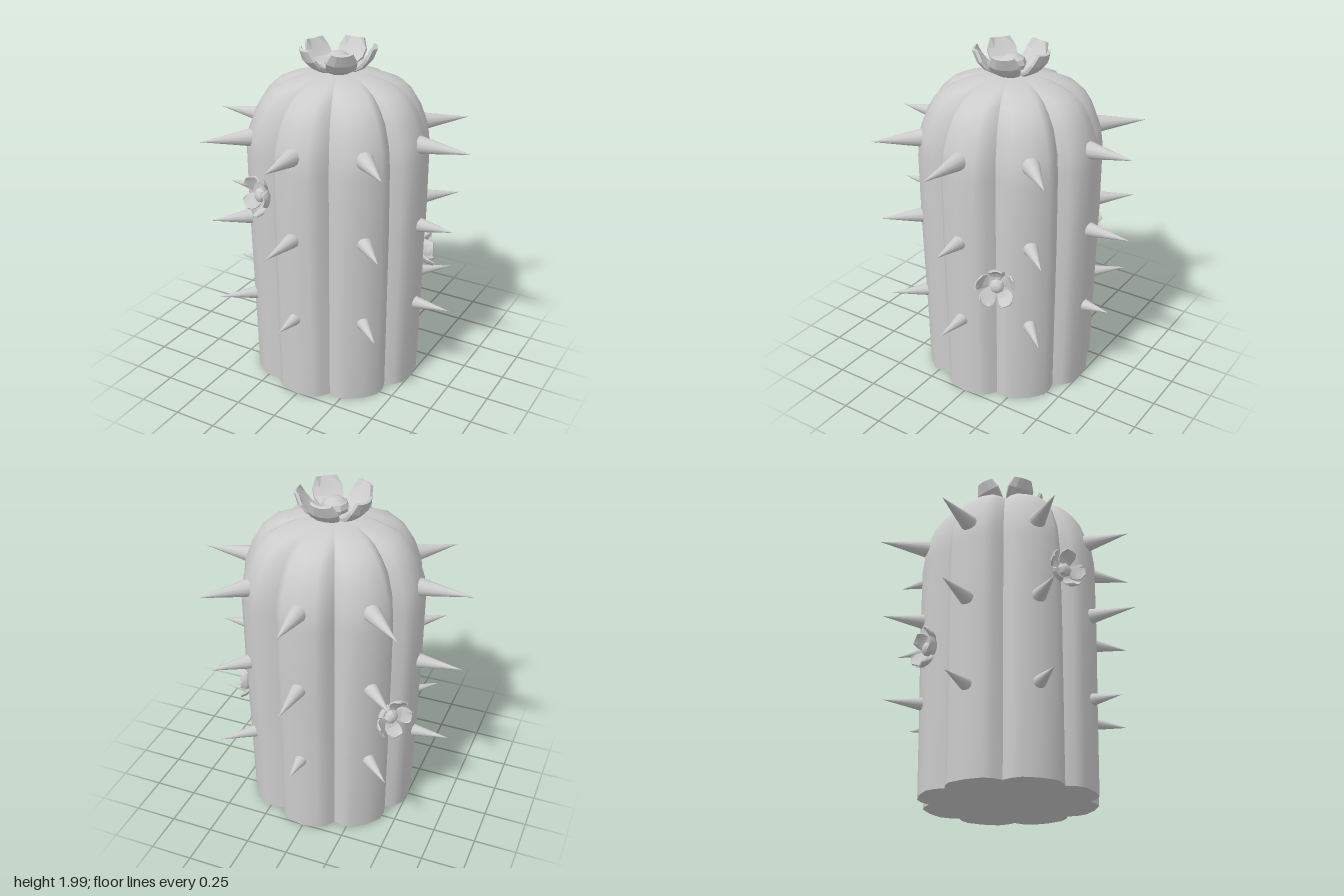
import * as THREE from 'three';
import { mergeGeometries, toCreasedNormals } from 'three/addons/utils/BufferGeometryUtils.js';

const grey = new THREE.MeshStandardMaterial({ color: 0xcccccc });
grey.name = 'plain grey';

function addMesh(parent, name, geometry) {
  const mesh = new THREE.Mesh(geometry, grey);
  mesh.name = name;
  parent.add(mesh);
  return mesh;
}

// Body profile: height, ridge radius, valley radius
const PROFILE = [
  [0, 0.505, 0.442], [0.5, 0.515, 0.446], [1.0, 0.527, 0.45], [1.4, 0.53, 0.446],
  [1.52, 0.515, 0.435], [1.64, 0.47, 0.4], [1.71, 0.428, 0.355], [1.765, 0.37, 0.305],
  [1.8, 0.29, 0.25], [1.825, 0.2, 0.185], [1.835, 0.1, 0.098], [1.84, 0.001, 0.001],
];
// Cross-section of one rib: angle in degrees, share of ridge against valley
const RIB = [[-22.5, 0], [-17, 0.55], [-11, 0.93], [0, 1], [11, 0.93], [17, 0.55], [22.5, 0]];

function ribPoint([y, ridge, valley], [deg, share], turn) {
  const r = valley + (ridge - valley) * share;
  const a = THREE.MathUtils.degToRad(deg) + turn;
  return [r * Math.sin(a), y, r * Math.cos(a)];
}

// One rib, smooth inside, so the valleys between ribs stay sharp
function ribGeometry(turn) {
  const pos = [], index = [], n = RIB.length;
  PROFILE.forEach((level) => RIB.forEach((p) => pos.push(...ribPoint(level, p, turn))));
  for (let i = 0; i < PROFILE.length - 1; i++) {
    for (let j = 0; j < n - 1; j++) {
      const a = i * n + j, b = a + 1, c = a + n, d = c + 1;
      index.push(a, b, d, a, d, c);
    }
  }
  const g = new THREE.BufferGeometry();
  g.setAttribute('position', new THREE.Float32BufferAttribute(pos, 3));
  g.setIndex(index);
  g.computeVertexNormals();
  return g;
}

// Petal: a box bent along a curve, widened, cupped and thinned at its rim
const petalCurve = new THREE.CubicBezierCurve(
  new THREE.Vector2(0.03, 0.018), new THREE.Vector2(0.13, 0.015),
  new THREE.Vector2(0.18, 0.06), new THREE.Vector2(0.215, 0.145));
const HALF_WIDTHS = [0.035, 0.062, 0.082, 0.085, 0.058];

function petalGeometry() {
  const g = new THREE.BoxGeometry(1, 2, 2, 4, 4, 2);
  const p = g.attributes.position;
  for (let i = 0; i < p.count; i++) {
    const t = p.getX(i) + 0.5, s = p.getY(i), side = p.getZ(i);
    const c = petalCurve.getPoint(t), d = petalCurve.getTangent(t);
    const rim = Math.abs(s) === 1 || t === 1 ? 0.5 : 1;
    const off = side * 0.016 * rim + 0.018 * s * s * t;
    p.setXYZ(i, c.x - d.y * off, s * HALF_WIDTHS[Math.round(t * 4)], c.y + d.x * off);
  }
  return toCreasedNormals(g, 0.3);
}

// Flower opening along its own +z
function flower(name, petalDegrees) {
  const group = new THREE.Group();
  group.name = name;
  const petal = petalGeometry();
  for (let i = 0; i < 5; i++) {
    addMesh(group, 'petal', petal).rotation.z = THREE.MathUtils.degToRad(petalDegrees + i * 72);
  }
  const dome = new THREE.SphereGeometry(0.078, 8, 6);
  dome.rotateX(Math.PI / 2).scale(1, 1, 0.75).translate(0, 0, 0.06);
  addMesh(group, 'flowerCentre', toCreasedNormals(dome, 0.5));
  return group;
}

export function createModel() {
  const model = new THREE.Group();
  model.name = 'cactus';

  // Ribbed body
  const ribs = [];
  for (let i = 0; i < 8; i++) ribs.push(ribGeometry(i * Math.PI / 4));
  addMesh(model, 'body', mergeGeometries(ribs));

  // Flat underside
  const outline = [];
  for (let i = 0; i < 8; i++) {
    RIB.slice(0, -1).forEach((p) => {
      const [x, , z] = ribPoint(PROFILE[0], p, i * Math.PI / 4);
      outline.push(new THREE.Vector2(x, z));
    });
  }
  const base = new THREE.ShapeGeometry(new THREE.Shape(outline));
  addMesh(model, 'underside', base.rotateX(Math.PI / 2));

  // Spikes: three rows, tip radius per direction from front towards +x
  const rows = [
    { y: 0.515, r: 0.042, tips: [0.68, 0.73, 0.73, 0.73, 0.67, 0.73, 0.73, 0.73] },
    { y: 1.02, r: 0.05, tips: [0.79, 0.76, 0.73, 0.76, 0.78, 0.76, 0.78, 0.76] },
    { y: 1.5, r: 0.055, tips: [0.77, 0.79, 0.81, 0.79, 0.77, 0.8, 0.81, 0.79] },
  ];
  const inner = 0.48;
  for (const { y, r, tips } of rows) {
    tips.forEach((tip, i) => {
      const g = new THREE.ConeGeometry(r, tip - inner, 12);
      g.rotateX(Math.PI / 2).translate(0, 0, (tip + inner) / 2);
      const spike = addMesh(model, 'spike', toCreasedNormals(g, 1));
      spike.position.y = y;
      spike.rotation.y = i * Math.PI / 4;
    });
  }

  // Large flower on the crown
  const crown = flower('crownFlower', 90);
  crown.position.set(-0.01, 1.835, -0.005);
  crown.rotation.x = -Math.PI / 2;
  model.add(crown);

  // Small flowers on the sides: position, facing direction, petal turn
  const small = [
    ['frontFlower', [-0.22, 1.215, 0.435], [-0.45, 0.1, 0.88], 5],
    ['leftFlower', [0.435, 0.78, -0.195], [0.88, 0.05, -0.45], 90],
    ['backFlower', [-0.43, 0.79, -0.255], [-0.83, 0.05, -0.55], 60],
  ];
  for (const [name, pos, dir, turn] of small) {
    const f = flower(name, turn);
    f.scale.setScalar(0.55);
    f.position.set(...pos);
    f.lookAt(pos[0] + dir[0], pos[1] + dir[1], pos[2] + dir[2]);
    model.add(f);
  }
  return model;
}
